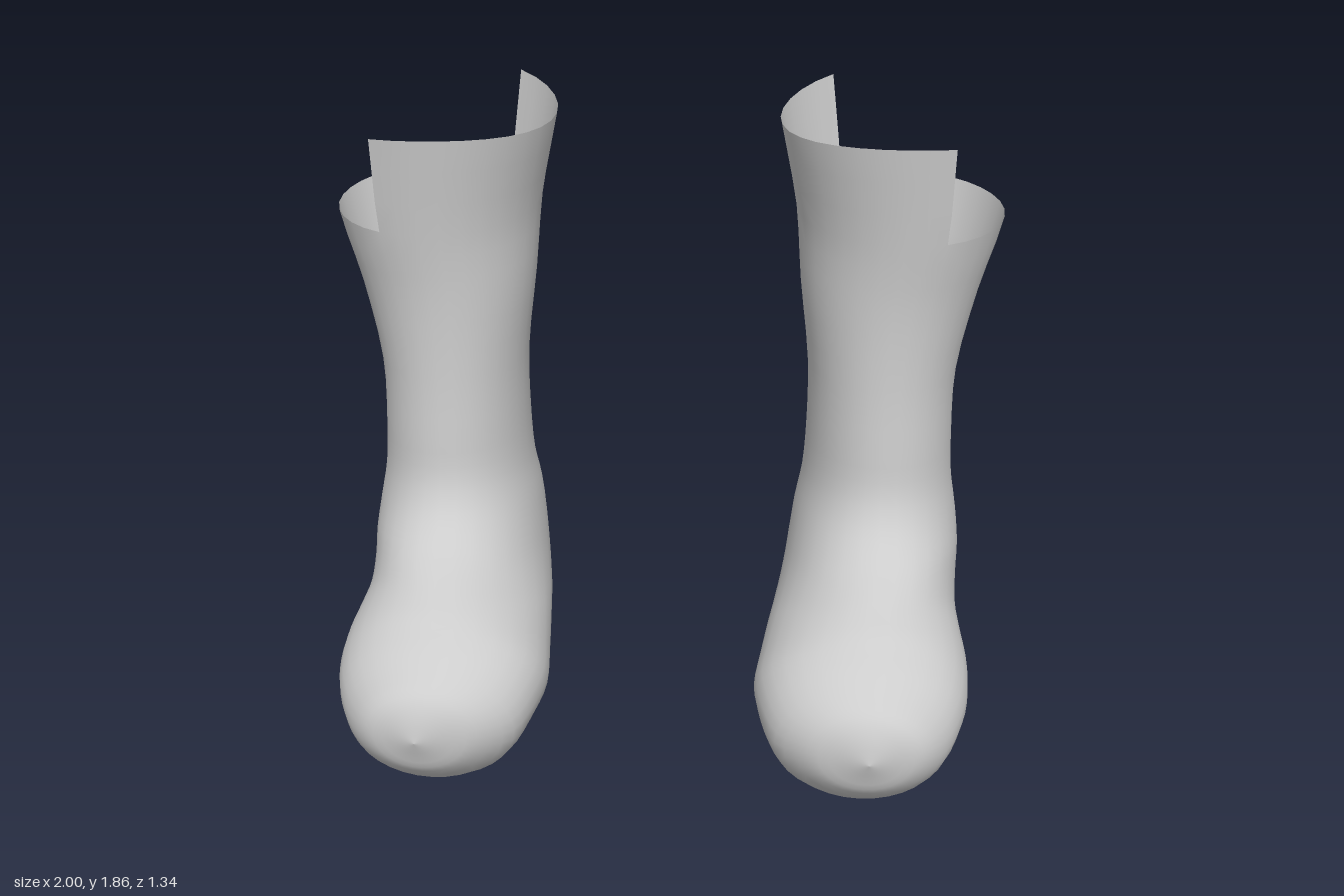
import * as THREE from 'three';

const COLS = 32;      // points around each ring
const STEPS = 3;      // rows between two sections
const CUT_FRONT = 2;  // the cuff is lower between these two columns
const CUT_BACK = 19;

// Sections from cuff to toe: [front z, front y, back z, back y, inner x, outer x]
const SECTIONS = [
  [0.065, 1.77, -0.66, 1.88, 0.33, 1.03],
  [0.03, 1.49, -0.635, 1.555, 0.385, 0.998],
  [0.012, 1.29, -0.57, 1.31, 0.405, 0.935],
  [0.015, 1.05, -0.545, 1.05, 0.435, 0.885],
  [0.03, 0.86, -0.57, 0.84, 0.438, 0.885],
  [0.045, 0.73, -0.595, 0.66, 0.43, 0.895],
  [0.09, 0.64, -0.65, 0.52, 0.41, 0.915],
  [0.17, 0.57, -0.67, 0.38, 0.395, 0.925],
  [0.24, 0.535, -0.635, 0.23, 0.38, 0.92],
  [0.3, 0.51, -0.5, 0.13, 0.36, 0.915],
  [0.35, 0.49, -0.28, 0.1, 0.34, 0.92],
  [0.4, 0.47, -0.03, 0.06, 0.32, 0.93],
  [0.45, 0.445, 0.2, 0.035, 0.305, 0.925],
  [0.51, 0.415, 0.38, 0.02, 0.325, 0.9],
  [0.57, 0.375, 0.52, 0.005, 0.37, 0.85],
  [0.625, 0.335, 0.625, 0.09, 0.46, 0.78],
  [0.655, 0.28, 0.65, 0.15, 0.55, 0.7],
  [0.67, 0.21, 0.67, 0.21, 0.63, 0.63],
];

// One sock as a loft; side is 1 for the left foot, -1 for the right
function sockGeometry(side) {
  const front = new THREE.CatmullRomCurve3(SECTIONS.map(s => new THREE.Vector3(s[4], s[1], s[0])));
  const back = new THREE.CatmullRomCurve3(SECTIONS.map(s => new THREE.Vector3(s[5], s[3], s[2])));
  const rows = (SECTIONS.length - 1) * STEPS;
  const positions = [];
  const index = [];

  for (let i = 0; i <= rows; i++) {
    for (let j = 0; j < COLS; j++) {
      // columns of the low cuff start at the lower rim
      const low = j > CUT_FRONT && j < CUT_BACK;
      const row = low ? Math.max(i, STEPS) : i;
      const f = front.getPoint(row / rows);
      const b = back.getPoint(row / rows);
      const angle = (j / COLS) * Math.PI * 2;
      const c = Math.cos(angle);
      const s = Math.sin(angle);
      const sag = 0.04 * Math.max(0, 1 - row / STEPS) * s * s;
      positions.push(
        side * ((f.x + b.x) / 2 + ((b.x - f.x) / 2) * s),
        (f.y + b.y) / 2 + ((f.y - b.y) / 2) * c - sag,
        (f.z + b.z) / 2 + ((f.z - b.z) / 2) * c,
      );
    }
  }

  for (let i = 0; i < rows; i++) {
    for (let j = 0; j < COLS; j++) {
      if (i < STEPS && j >= CUT_FRONT && j < CUT_BACK) continue; // stepped cut
      const k = (j + 1) % COLS;
      const a = i * COLS + j, b = a + COLS;
      const d = i * COLS + k, c = d + COLS;
      if (side > 0) index.push(a, b, c, a, c, d);
      else index.push(a, c, b, a, d, c);
    }
  }

  const geometry = new THREE.BufferGeometry();
  geometry.setAttribute('position', new THREE.Float32BufferAttribute(positions, 3));
  geometry.setIndex(index);
  geometry.computeVertexNormals();
  return geometry;
}

export function createModel() {
  const group = new THREE.Group();
  group.name = 'pairOfSocks';
  const knit = new THREE.MeshStandardMaterial({ color: 0xcccccc, side: THREE.DoubleSide });
  knit.name = 'light grey knit';

  for (const [name, side] of [['leftSock', 1], ['rightSock', -1]]) {
    const sock = new THREE.Mesh(sockGeometry(side), knit);
    sock.name = name;
    group.add(sock);
  }
  return group;
}
